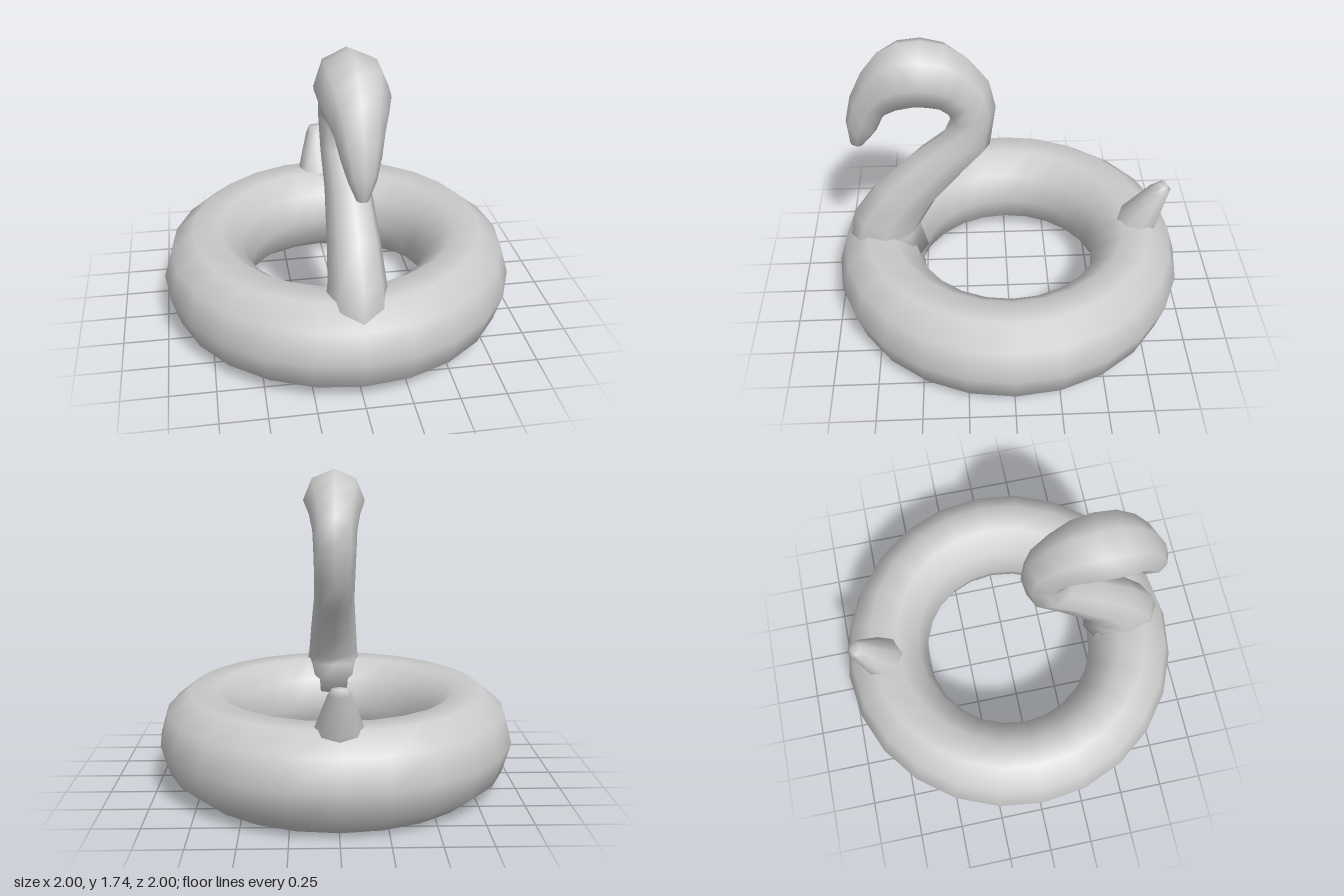
import * as THREE from 'three';

const SIDES = 8;

// Lofts eight-sided sections lying across the x = 0 plane.
// Each section: [frontZ, frontY, rearZ, rearY, halfWidth]
function loft(sections) {
  const pos = [], index = [];
  for (const [fz, fy, rz, ry, w] of sections) {
    const cz = (fz + rz) / 2, cy = (fy + ry) / 2;
    for (let j = 0; j < SIDES; j++) {
      const a = (j / SIDES) * Math.PI * 2, c = Math.cos(a);
      pos.push(w * Math.sin(a), cy + (fy - cy) * c, cz + (fz - cz) * c);
    }
  }
  const last = sections.length - 1;
  for (let i = 0; i < last; i++) {
    for (let j = 0; j < SIDES; j++) {
      const a = i * SIDES + j, b = i * SIDES + (j + 1) % SIDES;
      index.push(a, b, b + SIDES, a, b + SIDES, a + SIDES);
    }
  }
  // End caps
  for (let j = 1; j < SIDES - 1; j++) {
    index.push(0, j + 1, j);
    index.push(last * SIDES, last * SIDES + j, last * SIDES + j + 1);
  }
  const g = new THREE.BufferGeometry();
  g.setAttribute('position', new THREE.Float32BufferAttribute(pos, 3));
  g.setIndex(index);
  g.computeVertexNormals();
  return g;
}

export function createModel() {
  const group = new THREE.Group();
  group.name = 'swimRing';
  const material = new THREE.MeshStandardMaterial({ color: 0xcccccc });
  const add = (name, geometry) => {
    const mesh = new THREE.Mesh(geometry, material);
    mesh.name = name;
    group.add(mesh);
  };

  // Inflated ring, slightly taller than wide in section
  const ring = new THREE.TorusGeometry(0.75, 0.25, 10, 24);
  ring.rotateX(-Math.PI / 2);
  ring.scale(1, 1.12, 1);
  ring.translate(0, 0.267, 0);
  add('floatRing', ring);

  // Curved neck running into the head and the drooping beak
  add('neckAndHead', loft([
    [0.93, 0.33, 0.47, 0.36, 0.17],
    [0.92, 0.45, 0.51, 0.53, 0.165],
    [0.885, 0.615, 0.49, 0.57, 0.152],
    [0.745, 0.82, 0.42, 0.70, 0.14],
    [0.53, 1.03, 0.245, 0.91, 0.122],
    [0.355, 1.16, 0.10, 1.085, 0.12],
    [0.31, 1.26, 0.065, 1.33, 0.125],
    [0.33, 1.305, 0.10, 1.49, 0.13],
    [0.39, 1.35, 0.20, 1.625, 0.15],
    [0.45, 1.365, 0.315, 1.71, 0.175],
    [0.505, 1.37, 0.445, 1.74, 0.185],
    [0.59, 1.35, 0.57, 1.73, 0.18],
    [0.64, 1.315, 0.675, 1.675, 0.155],
    [0.675, 1.275, 0.765, 1.56, 0.125],
    [0.71, 1.20, 0.835, 1.415, 0.10],
    [0.75, 1.15, 0.87, 1.265, 0.07],
    [0.79, 1.105, 0.86, 1.12, 0.03],
  ]));

  // Short upturned tail
  add('tail', loft([
    [-0.63, 0.42, -0.86, 0.42, 0.125],
    [-0.65, 0.545, -0.885, 0.51, 0.125],
    [-0.81, 0.73, -0.94, 0.73, 0.06],
    [-0.865, 0.765, -0.915, 0.765, 0.04],
  ]));

  return group;
}
